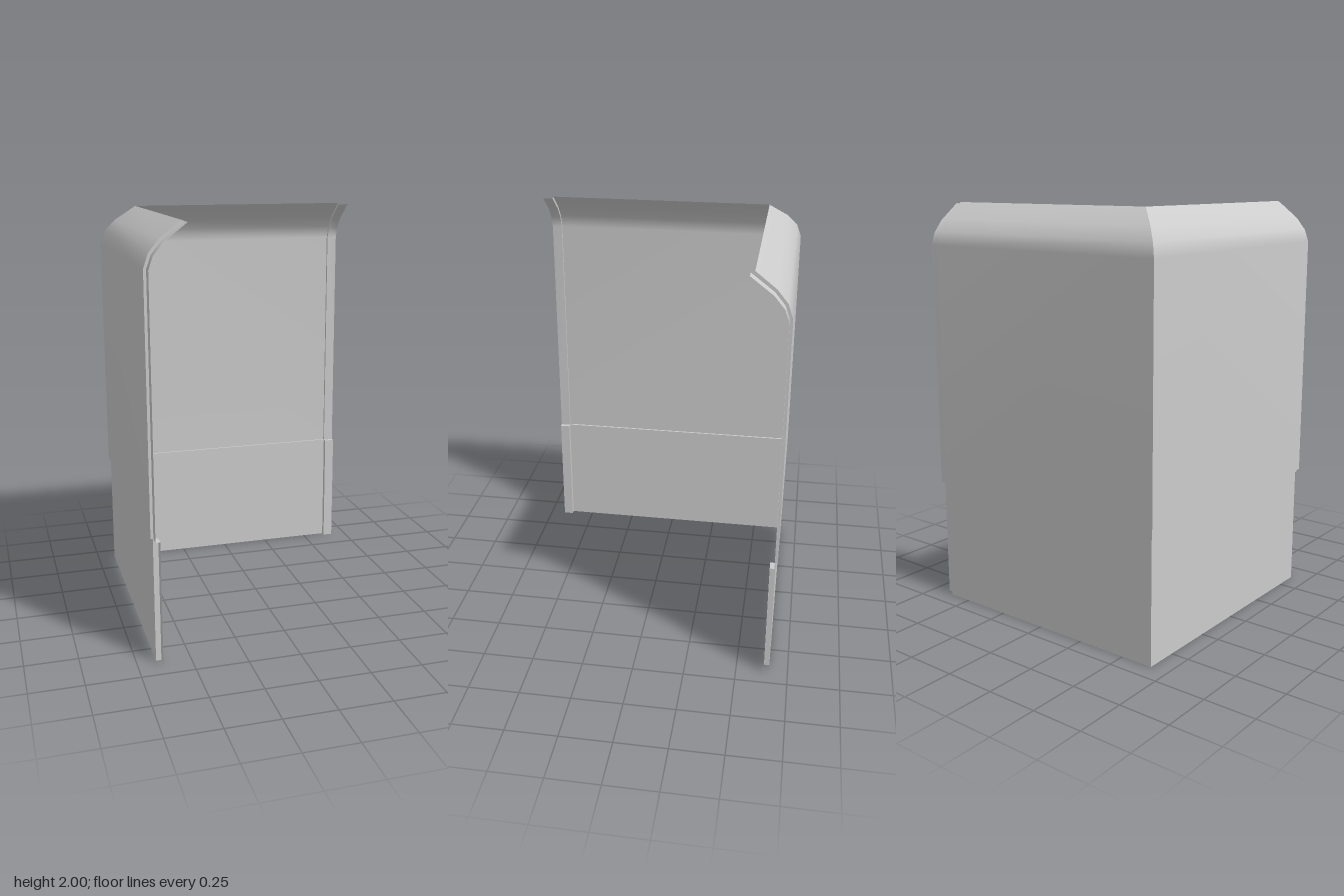
import * as THREE from 'three';

// Profiles run upward as [distance inward from the outer face, height]
const CORNER = -0.67, SEAM = 0.62, END = 0.67;
const upper = [[0, 0.6], [0, 1.8], [0.022, 1.865], [0.07, 1.925], [0.165, 2]];
const upperTab = [[0.013, 0.6], [0.013, 1.8], [0.034, 1.858], [0.08, 1.914], [0.183, 1.993]];
const lower = [[0.01, 0], [0.01, 0.6]];
const lowerTab = [[0.035, 0], [0.035, 0.6]];
const ledge = [[0.01, 0.6], [0, 0.6]];
const tabLedge = [[0.035, 0.6], [0.013, 0.6]];

const material = new THREE.MeshStandardMaterial({ color: 0xcccccc, side: THREE.DoubleSide });

// Sheet between two profiles; start === null mitres it into the corner
function sheet(name, profA, start, profB, end, swap) {
  const pos = [], index = [];
  const put = (u, [d, y]) => (swap ? pos.push(CORNER + d, y, u) : pos.push(u, y, CORNER + d));
  profA.forEach((a, i) => {
    put(start === null ? CORNER + a[0] : start, a);
    put(end, profB[i]);
    if (i === 0) return;
    const a0 = 2 * i - 2, b0 = a0 + 1, a1 = a0 + 2, b1 = a0 + 3;
    if (swap) index.push(a0, b0, a1, a1, b0, b1);
    else index.push(a0, a1, b0, a1, b1, b0);
  });
  const geo = new THREE.BufferGeometry();
  geo.setAttribute('position', new THREE.Float32BufferAttribute(pos, 3));
  geo.setIndex(index);
  geo.computeVertexNormals();
  const mesh = new THREE.Mesh(geo, material);
  mesh.name = name;
  return mesh;
}

// One wall: curved upper panel, recessed skirt and joggled overlap tabs
function wall(name, swap) {
  const group = new THREE.Group();
  group.name = name;
  group.add(
    sheet('upperPanel', upper, null, upper, SEAM, swap),
    sheet('upperTabStep', upper, SEAM, upperTab, SEAM, swap),
    sheet('upperTab', upperTab, SEAM, upperTab, END, swap),
    sheet('lowerPanel', lower, null, lower, SEAM, swap),
    sheet('lowerTabStep', lower, SEAM, lowerTab, SEAM, swap),
    sheet('lowerTab', lowerTab, SEAM, lowerTab, END, swap),
    sheet('ledge', ledge, null, ledge, SEAM, swap),
    sheet('tabLedge', tabLedge, SEAM, tabLedge, END, swap)
  );
  return group;
}

export function createModel() {
  const model = new THREE.Group();
  model.name = 'cornerPanel';
  model.add(wall('backWall', false), wall('rightWall', true));
  return model;
}
